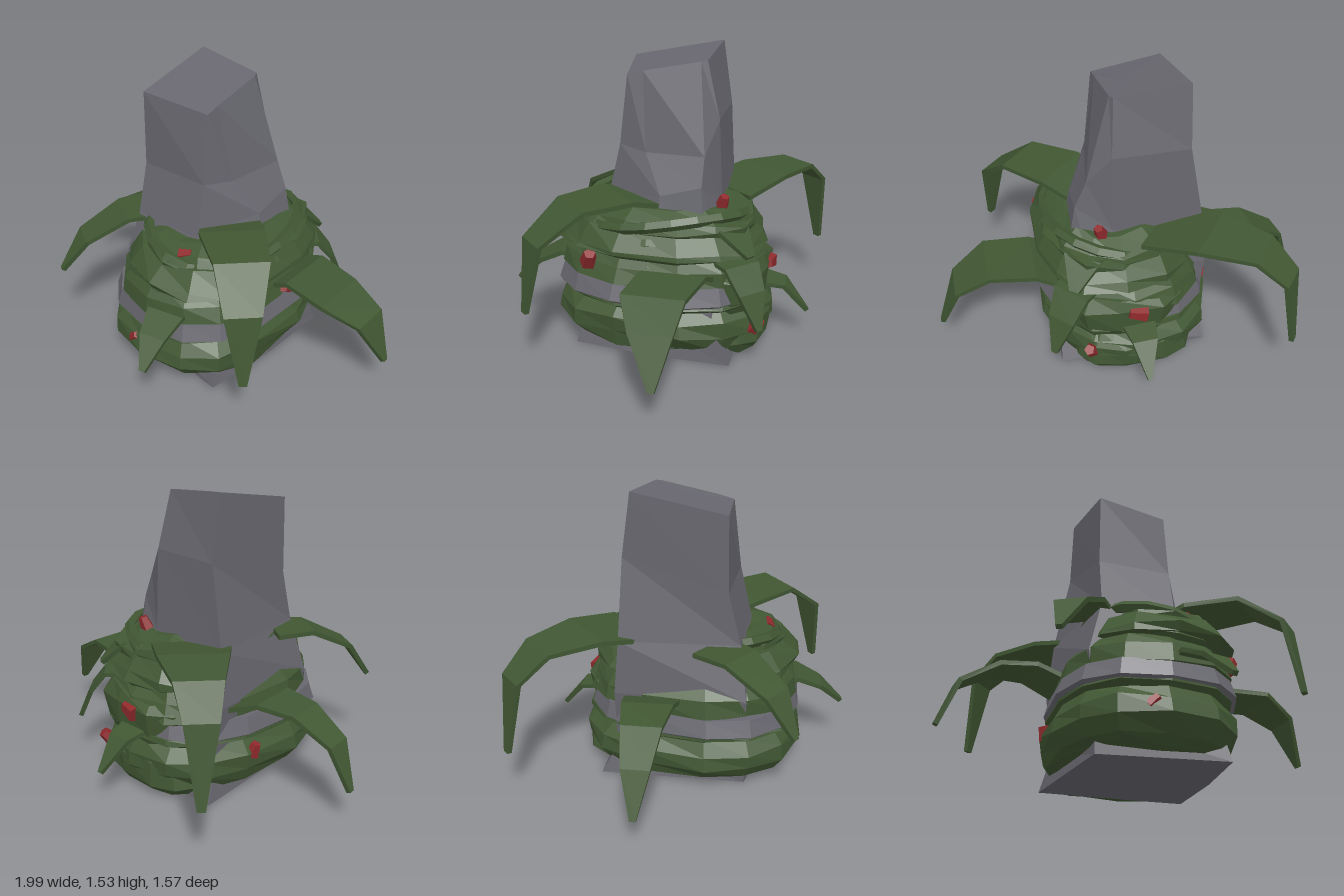
import * as THREE from 'three';

const mat = (name, color) => {
  const m = new THREE.MeshStandardMaterial({ color, flatShading: true });
  m.name = name;
  return m;
};

// Small seeded random, -1 to 1
let seed = 7;
const rnd = () => {
  seed = (seed * 16807) % 2147483647;
  return (seed / 2147483647) * 2 - 1;
};

// Closed skin over a list of cross-sections (arrays of Vector3 of equal length)
function loft(sections) {
  const out = [];
  const tri = (...pts) => pts.forEach((p) => out.push(p.x, p.y, p.z));
  const n = sections[0].length;
  const centre = (s) => s.reduce((a, p) => a.add(p), new THREE.Vector3()).divideScalar(n);
  const first = sections[0], last = sections[sections.length - 1];
  const c0 = centre(first), c1 = centre(last);
  for (let j = 0; j < n; j++) {
    const k = (j + 1) % n;
    for (let i = 0; i < sections.length - 1; i++) {
      const a = sections[i], b = sections[i + 1];
      tri(a[j], b[j], b[k]);
      tri(a[j], b[k], a[k]);
    }
    tri(c0, first[j], first[k]);
    tri(c1, last[k], last[j]);
  }
  const g = new THREE.BufferGeometry();
  g.setAttribute('position', new THREE.Float32BufferAttribute(out, 3));
  g.computeVertexNormals();
  return g;
}

// Lumpy squared-off oval ring; profile rows are [radius x, radius z, y]
function ring(profile, jitter, cx = 0, cz = 0, sides = 14) {
  const soft = (v) => Math.sign(v) * Math.abs(v) ** 0.8;
  return loft(profile.map(([rx, rz, y]) => Array.from({ length: sides }, (_, j) => {
    const a = ((j + 0.5) / sides) * Math.PI * 2, s = 1 + rnd() * jitter;
    return new THREE.Vector3(cx + soft(Math.cos(a)) * rx * s, y + rnd() * jitter * 0.4, cz + soft(Math.sin(a)) * rz * s);
  })));
}

// Drooping strap leaf; rows are [x, y, z, width]
function leaf(rows, thick = 0.024) {
  const pts = rows.map((r) => new THREE.Vector3(r[0], r[1], r[2]));
  const run = pts[pts.length - 1].clone().sub(pts[0]).setY(0).normalize();
  const side = run.clone().cross(new THREE.Vector3(0, 1, 0));
  return loft(pts.map((p, i) => {
    const t = pts[Math.min(i + 1, pts.length - 1)].clone().sub(pts[Math.max(i - 1, 0)]).normalize();
    const up = side.clone().cross(t).normalize();
    return [[1, -1], [1, 1], [-1, 1], [-1, -1]].map(([s, u]) =>
      p.clone().addScaledVector(side, (s * rows[i][3]) / 2).addScaledVector(up, (u * thick) / 2));
  }));
}

export function createModel() {
  const model = new THREE.Group();
  const stone = mat('stone grey', 0x68676f);
  const green = mat('leaf green', 0x415733);
  const red = mat('berry red', 0x8f2a2c);
  const add = (name, geo, material) => {
    const m = new THREE.Mesh(geo, material);
    m.name = name;
    model.add(m);
    return m;
  };

  // Tapering broken pillar, six corners per section as [x, y, z]
  const pillar = [
    [[0.38, 0, 0], [0.34, 0, 0.41], [-0.3, 0, 0.35], [-0.41, 0, -0.4], [0.2, 0, -0.42], [0.38, 0, -0.42]],
    [[0.36, 0.16, 0], [0.31, 0.16, 0.37], [-0.3, 0.16, 0.35], [-0.37, 0.16, -0.32], [0.2, 0.16, -0.4], [0.37, 0.16, -0.34]],
    [[0.33, 0.5, 0], [0.29, 0.5, 0.35], [-0.34, 0.5, 0.36], [-0.41, 0.5, -0.31], [0.18, 0.5, -0.36], [0.33, 0.5, -0.27]],
    [[0.26, 0.84, -0.03], [0.12, 0.78, 0.28], [-0.27, 0.78, 0.31], [-0.385, 0.78, -0.29], [0.08, 0.78, -0.31], [0.26, 0.9, -0.24]],
    [[0.16, 1.03, 0.07], [0.11, 1.05, 0.22], [-0.27, 1.05, 0.245], [-0.31, 1.2, -0.28], [0.08, 1.2, -0.29], [0.2, 1.04, -0.24]],
    [[0.095, 1.43, 0.1], [0.1, 1.41, 0.18], [-0.27, 1.44, 0.24], [-0.31, 1.53, -0.23], [0.06, 1.49, -0.22], [0.075, 1.485, -0.19]],
  ];
  add('stonePillar', loft(pillar.map((s) => s.map((p) => new THREE.Vector3(...p)))), stone);

  // Stone showing between the vine coils
  add('stoneBand', ring([[0.39, 0.5, 0.27], [0.462, 0.56, 0.328], [0.435, 0.535, 0.415]], 0.008, 0.003, 0.012), stone);

  // Vine coils stacked around the pillar: profile, lumpiness, centre x and z
  const coils = [
    [[[0.36, 0.45, 0.04], [0.42, 0.53, 0.06], [0.455, 0.575, 0.14], [0.455, 0.57, 0.22], [0.4, 0.52, 0.29]], 0.03, -0.01],
    [[[0.4, 0.52, 0.27], [0.445, 0.56, 0.3], [0.435, 0.55, 0.33], [0.4, 0.5, 0.34]], 0.02],
    [[[0.39, 0.5, 0.395], [0.425, 0.545, 0.415], [0.41, 0.535, 0.5], [0.36, 0.49, 0.57]], 0.03, 0.01],
    [[[0.36, 0.48, 0.55], [0.41, 0.545, 0.57], [0.41, 0.54, 0.61], [0.34, 0.46, 0.69]], 0.04, 0.05],
    [[[0.33, 0.46, 0.66], [0.355, 0.47, 0.69], [0.32, 0.44, 0.735], [0.24, 0.35, 0.775]], 0.05, 0.055, -0.01],
  ];
  coils.forEach((c, i) => add(`vineCoil${i + 1}`, ring(...c), green));

  // Tangled growth filling the gap between the coils at the back
  add('backGrowth', ring([[0.26, 0.2, 0.25], [0.31, 0.23, 0.31], [0.32, 0.24, 0.43], [0.28, 0.2, 0.5]], 0.05, 0.03, -0.33, 11), green);
  add('backSkirt', ring([[0.27, 0.14, 0.02], [0.32, 0.17, 0.07], [0.3, 0.17, 0.19], [0.24, 0.12, 0.26]], 0.04, 0, -0.4, 11), green);

  // Thin twisting strands lying across the coils; rows are [centre x, y, depth]
  [[0, 0.12, 0.5], [0.01, 0.47, 0.5], [0.045, 0.6, 0.5], [0.05, 0.72, 0.43]].forEach(([cx, y, depth], i) => {
    const pts = Array.from({ length: 12 }, (_, j) => {
      const a = (j / 12) * Math.PI * 2;
      return new THREE.Vector3(cx + Math.cos(a) * 0.355, y + Math.sin(a * 2 + i) * 0.04, Math.sin(a) * depth);
    });
    add(`vineStrand${i + 1}`, new THREE.TubeGeometry(new THREE.CatmullRomCurve3(pts, true), 20, 0.03, 5, true), green);
  });

  // Drooping leaves
  const leaves = {
    leftLeaf: [[0.34, 0.45, -0.16, 0.34], [0.48, 0.52, -0.15, 0.33], [0.72, 0.51, -0.115, 0.31], [0.89, 0.42, -0.15, 0.21], [0.985, 0.19, -0.18, 0.03]],
    rightLeaf: [[-0.34, 0.46, -0.12, 0.3], [-0.54, 0.535, -0.09, 0.26], [-0.72, 0.52, -0.06, 0.2], [-0.9, 0.41, -0.03, 0.14], [-0.985, 0.19, -0.02, 0.03]],
    backRightLeaf: [[-0.16, 0.76, -0.28, 0.4], [-0.38, 0.81, -0.46, 0.34], [-0.6, 0.8, -0.62, 0.23], [-0.72, 0.68, -0.71, 0.16], [-0.76, 0.29, -0.75, 0.04]],
    frontLeftLeaf: [[0.14, 0.78, 0.06, 0.3], [0.27, 0.83, 0.19, 0.33], [0.48, 0.83, 0.36, 0.27], [0.62, 0.68, 0.51, 0.18], [0.66, 0.32, 0.55, 0.04]],
    frontRightLeaf: [[-0.28, 0.76, 0.16, 0.26], [-0.37, 0.76, 0.33, 0.22], [-0.47, 0.65, 0.53, 0.16], [-0.54, 0.46, 0.64, 0.03]],
    frontLeaf: [[0.12, 0.42, 0.44, 0.2], [0.14, 0.46, 0.54, 0.2], [0.17, 0.4, 0.66, 0.14], [0.21, 0.28, 0.775, 0.03]],
    backLeaf: [[0, 0.3, -0.46, 0.18], [-0.01, 0.33, -0.54, 0.17], [-0.02, 0.31, -0.64, 0.13], [-0.02, 0.16, -0.765, 0.02]],
    backLeftLeaf: [[0.2, 0.54, -0.34, 0.22], [0.32, 0.53, -0.46, 0.2], [0.38, 0.42, -0.52, 0.15], [0.43, 0.25, -0.57, 0.03]],
    backLeftTopLeaf: [[0.16, 0.68, -0.28, 0.24], [0.25, 0.7, -0.4, 0.2], [0.31, 0.58, -0.5, 0.05]],
  };
  for (const [name, rows] of Object.entries(leaves)) add(name, leaf(rows), green);

  // Chunky berries half sunk into the vines; rows are [x, y, z, size, lean direction]
  const berries = [
    [0.385, 0.52, 0.31, 1.1, [0.5, 0.8, -0.3]],
    [0.24, 0.18, -0.53, 1, [0.3, 0.7, -0.6]],
    [0.15, 0.8, -0.33, 0.85, [0.3, 1, -0.3]],
    [0, 0.43, -0.55, 1.15, [1, 0.2, 0]],
    [-0.445, 0.23, -0.12, 0.9, [-0.3, 1, 0.2]],
    [-0.085, 0.2, 0.55, 0.8, [0.6, 0.6, 0.2]],
    [0.13, 0.73, 0.37, 0.85, [1, 0.4, -0.3]],
    [0.415, 0.43, -0.07, 0.95, [0.3, 0.5, 0.8]],
  ];
  const up = new THREE.Vector3(0, 1, 0);
  berries.forEach(([x, y, z, size, lean], i) => {
    const b = add(`berry${i + 1}`, new THREE.CylinderGeometry(0.028, 0.042, 0.078, 5), red);
    b.position.set(x, y, z);
    b.scale.setScalar(size);
    b.quaternion.setFromUnitVectors(up, new THREE.Vector3(...lean).normalize());
  });

  return model;
}
